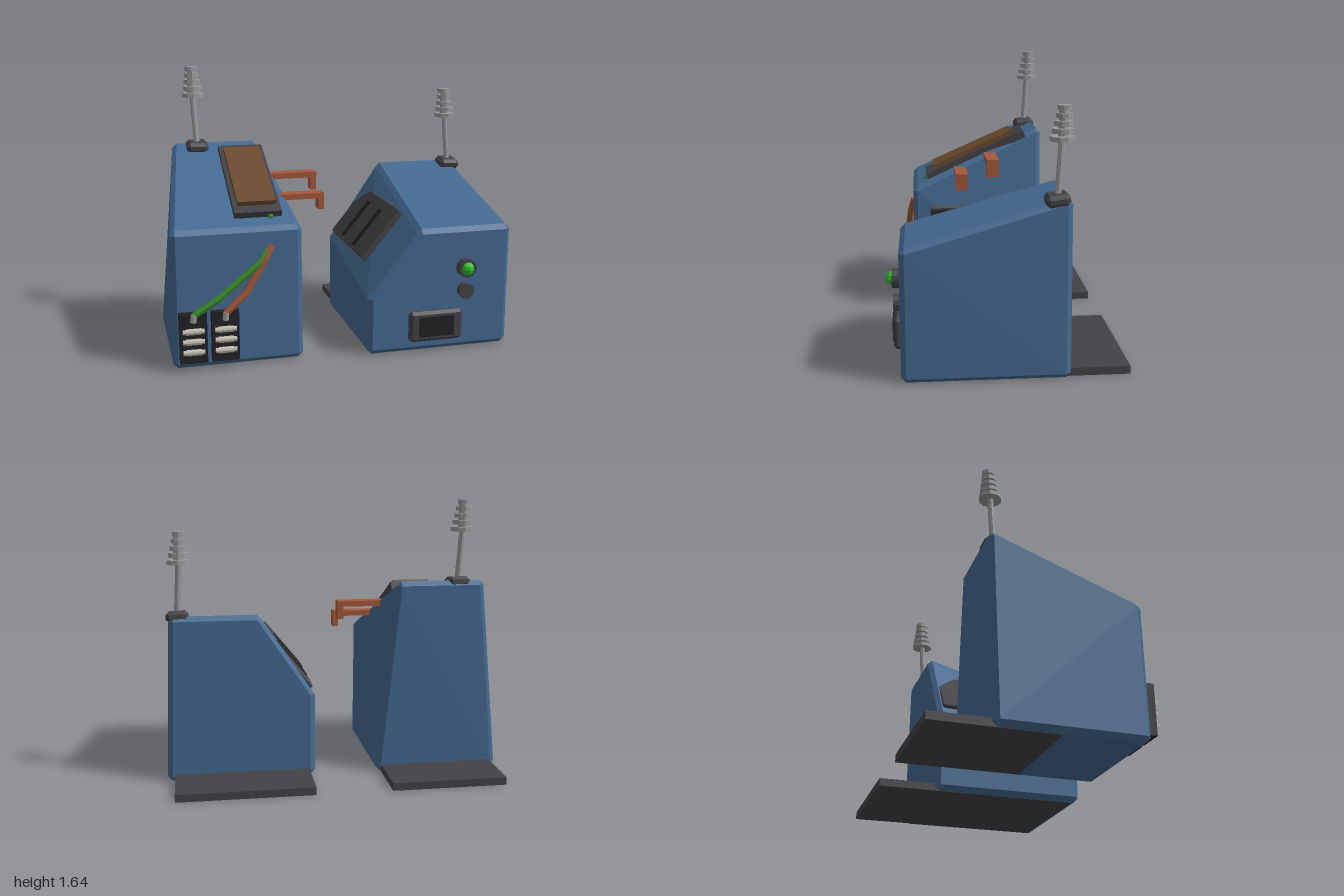
import * as THREE from 'three';
import { ConvexGeometry } from 'three/addons/geometries/ConvexGeometry.js';

const mat = (name, color) => {
  const m = new THREE.MeshStandardMaterial({ color });
  m.name = name;
  return m;
};

export function createModel() {
  const blue = mat('casing blue', 0x456a92);
  const charcoal = mat('charcoal', 0x434246);
  const black = mat('black', 0x222224);
  const brown = mat('brown', 0x6b4a2e);
  const copper = mat('copper', 0xa5583a);
  const green = mat('wire green', 0x3a8a2c);
  const lamp = mat('lamp green', 0x2fc32f);
  const steel = mat('steel', 0x9a9a9a);
  const cream = mat('ceramic', 0xbab6aa);

  const model = new THREE.Group();
  const add = (parent, name, geo, m, x = 0, y = 0, z = 0) => {
    const mesh = new THREE.Mesh(geo.index ? geo.toNonIndexed() : geo, m);
    mesh.geometry.computeVertexNormals(); // faceted look
    mesh.name = name;
    mesh.position.set(x, y, z);
    parent.add(mesh);
    return mesh;
  };
  const box = (parent, name, m, w, h, d, x, y, z) =>
    add(parent, name, new THREE.BoxGeometry(w, h, d), m, x, y, z);
  const group = (name, parent = model) => {
    const g = new THREE.Group();
    g.name = name;
    parent.add(g);
    return g;
  };

  // Convex block with every edge chamfered by b
  const chamfered = (corners, b) => {
    const c = new THREE.Box3().setFromPoints(corners).getCenter(new THREE.Vector3());
    const pts = [];
    for (const p of corners) {
      const q = p.clone();
      for (const a of ['x', 'y', 'z']) q[a] -= Math.sign(p[a] - c[a]) * b;
      for (const a of ['x', 'y', 'z']) {
        const r = q.clone();
        r[a] = p[a];
        pts.push(r);
      }
    }
    return new ConvexGeometry(pts);
  };
  const loft = (front, zFront, back, zBack, b) => chamfered([
    ...front.map(([x, y]) => new THREE.Vector3(x, y, zFront)),
    ...back.map(([x, y]) => new THREE.Vector3(x, y, zBack))
  ], b);
  const block = (w, h, d, b) => {
    const s = [[-w / 2, -h / 2], [w / 2, -h / 2], [w / 2, h / 2], [-w / 2, h / 2]];
    return loft(s, d / 2, s, -d / 2, b);
  };

  // Cylinder between two points
  const rod = (parent, name, m, a, b, r, sides = 8) => {
    const p = new THREE.Vector3(...a), q = new THREE.Vector3(...b);
    const mesh = add(parent, name, new THREE.CylinderGeometry(r, r, p.distanceTo(q), sides), m);
    mesh.position.copy(p).add(q).multiplyScalar(0.5);
    mesh.quaternion.setFromUnitVectors(new THREE.Vector3(0, 1, 0), q.sub(p).normalize());
  };

  // Leaning antenna with a stack of shrinking discs
  const antenna = (parent, x, y, z, lean, roll) => {
    const g = group('antenna', parent);
    g.position.set(x, y, z);
    add(g, 'antennaBase', block(0.13, 0.065, 0.13, 0.02), charcoal).rotation.set(0.12, 0, roll);
    const top = [lean, 0.47, -0.035];
    rod(g, 'antennaRod', steel, [0, 0, 0], [lean, 0.4, -0.03], 0.018);
    [0.067, 0.058, 0.051, 0.044, 0.038].forEach((r, i) => {
      const t = (0.318 + i * 0.04) / 0.47;
      add(g, 'antennaDisc', new THREE.CylinderGeometry(r, r, 0.025, 10), steel,
        top[0] * t, top[1] * t, top[2] * t);
    });
    add(g, 'antennaCore', new THREE.CylinderGeometry(0.026, 0.03, 0.15, 8), steel, lean * 0.85, 0.4, -0.03);
  };

  // ---- Tall unit ----
  const tall = group('tallUnit');
  add(tall, 'tallCasing', loft(
    [[-1, 0], [-0.25, 0], [-0.255, 0.8], [-0.995, 0.8]], 0.51,
    [[-1, 0], [-0.25, 0], [-0.37, 1.16], [-0.9, 1.16]], -0.33, 0.028), blue);
  box(tall, 'tallFootPlate', charcoal, 0.675, 0.045, 0.7, -0.62, 0.021, -0.31);
  antenna(tall, -0.75, 1.145, -0.26, -0.02, 0);

  // Sloping roof panel
  const roof = group('roofPanel', tall);
  roof.position.set(-0.49, 0.985, 0.098);
  roof.rotation.x = 0.415;
  box(roof, 'panelSlab', charcoal, 0.272, 0.05, 0.7, 0, 0, 0);
  box(roof, 'panelInlay', brown, 0.222, 0.03, 0.57, 0, 0.038, 0);
  add(tall, 'roofWireEnd', new THREE.IcosahedronGeometry(0.018, 0), green, -0.42, 0.835, 0.42);

  // Hooked copper prongs on the inner side
  for (const [y, z, drop] of [[0.99, 0.008, 0.11], [0.9, 0.203, 0.1]]) {
    const g = group('prong', tall);
    box(g, 'prongArm', copper, 0.34, 0.034, 0.078, -0.23, y, z);
    box(g, 'prongHook', copper, 0.035, drop, 0.078, -0.078, y + 0.017 - drop / 2, z);
  }

  // Terminal blocks with ceramic spools
  for (const x of [-0.888, -0.708]) {
    const g = group('terminalBlock', tall);
    box(g, 'terminalBody', black, 0.155, 0.29, 0.05, x, 0.193, 0.53);
    for (const y of [0.118, 0.18, 0.24]) {
      for (const [w, r] of [[0.12, 0.014], [0.085, 0.018]]) {
        add(g, 'spool', new THREE.CylinderGeometry(r, r, w, 10), cream, x, y, 0.568)
          .rotation.z = Math.PI / 2;
      }
    }
    rod(g, 'wireFerrule', steel, [x, 0.29, 0.555], [x + 0.005, 0.335, 0.555], 0.018);
  }

  // Bent wires
  const wire = (name, m, pts) => {
    for (let i = 1; i < pts.length; i++) rod(tall, name, m, pts[i - 1], pts[i], 0.02, 6);
  };
  wire('greenWire', green,
    [[-0.885, 0.325, 0.55], [-0.74, 0.415, 0.55], [-0.5, 0.6, 0.53], [-0.45, 0.67, 0.505]]);
  wire('copperWire', copper,
    [[-0.705, 0.325, 0.55], [-0.59, 0.43, 0.545], [-0.47, 0.62, 0.525], [-0.43, 0.69, 0.505]]);

  // ---- Low unit ----
  const low = group('lowUnit');
  add(low, 'lowCasing', loft(
    [[0.12, 0], [0.995, 0], [0.995, 0.74], [0.415, 0.74], [0.12, 0.31]], 0.58,
    [[0.12, 0], [0.995, 0], [0.965, 0.98], [0.43, 0.98], [0.12, 0.52]], -0.33, 0.028), blue);
  box(low, 'lowFootPlate', charcoal, 0.79, 0.045, 1.2, 0.555, 0.021, -0.06);
  antenna(low, 0.915, 0.972, -0.25, -0.022, -0.05);

  // Slanted side panel with two slots
  const side = group('sidePanel', low);
  side.position.set(0.255, 0.672, 0.055);
  side.rotation.z = 0.885;
  add(side, 'sidePlate', block(0.365, 0.03, 0.7, 0.006), charcoal);
  for (const z of [-0.12, 0.115]) box(side, 'slot', black, 0.275, 0.008, 0.05, -0.02, 0.017, z);

  // Display
  add(low, 'displayFrame', block(0.33, 0.185, 0.05, 0.018), charcoal, 0.525, 0.163, 0.6);
  box(low, 'displayScreen', black, 0.215, 0.12, 0.008, 0.523, 0.163, 0.627);

  // Lamp and knob
  const dial = (name, m, r, len, y, z, sides) => {
    add(low, name, new THREE.CylinderGeometry(r, r, len, sides), m, 0.71, y, z).rotation.x = Math.PI / 2;
  };
  dial('lampRing', charcoal, 0.056, 0.05, 0.5, 0.6, 12);
  dial('knob', charcoal, 0.047, 0.045, 0.36, 0.598, 12);
  add(low, 'lampDome', new THREE.SphereGeometry(0.04, 8, 6), lamp, 0.71, 0.5, 0.62);

  return model;
}
